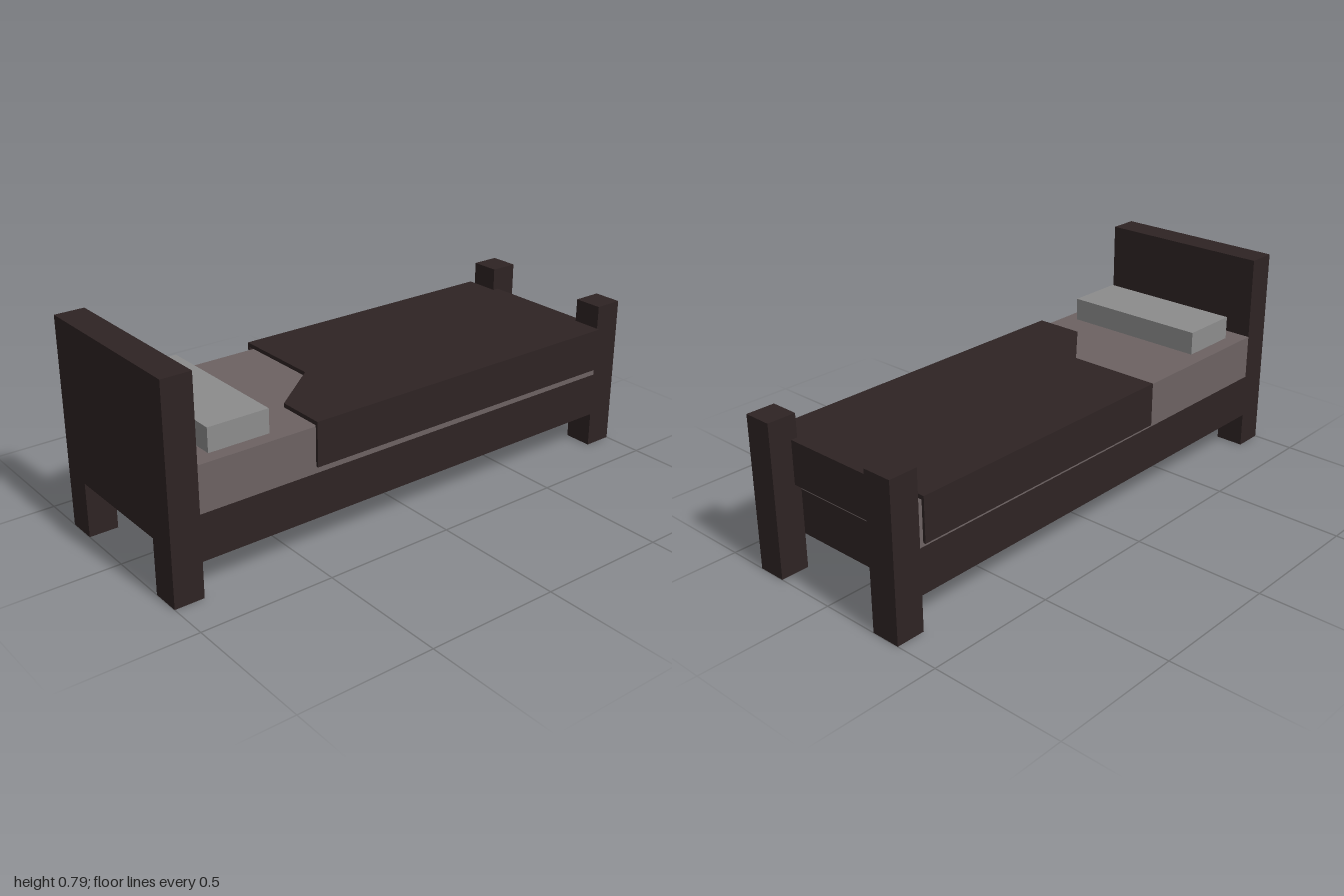
import * as THREE from 'three';

const material = (name, color) => {
  const m = new THREE.MeshStandardMaterial({ color });
  m.name = name;
  return m;
};

// Shape from a list of [x, y] corners
const outline = (points) => new THREE.Shape(points.map(([x, y]) => new THREE.Vector2(x, y)));

export function createModel() {
  const bed = new THREE.Group();
  bed.name = 'bed';
  const wood = material('darkWood', 0x2e2323);
  const sheet = material('sheet', 0x6c6262);
  const cushion = material('pillowGrey', 0x8c8c8c);

  const add = (name, geometry, mat, parent = bed) => {
    const mesh = new THREE.Mesh(geometry, mat);
    mesh.name = name;
    parent.add(mesh);
    return mesh;
  };
  // Box given by its low and high limits on each axis
  const box = (name, mat, [x0, x1], [y0, y1], [z0, z1], parent) => {
    const g = new THREE.BoxGeometry(x1 - x0, y1 - y0, z1 - z0);
    g.translate((x0 + x1) / 2, (y0 + y1) / 2, (z0 + z1) / 2);
    return add(name, g, mat, parent);
  };

  const L = -0.335, R = 0.346;          // outer sides of the frame
  const innerL = -0.223, innerR = 0.236; // inner sides of the legs
  const end = 0.89;                      // inner face of headboard and posts

  // Headboard with two legs in one piece
  const board = new THREE.ExtrudeGeometry(outline([
    [L, 0], [innerL, 0], [innerL, 0.208], [innerR, 0.208],
    [innerR, 0], [R, 0], [R, 0.785], [L, 0.785],
  ]), { depth: 1 - end, bevelEnabled: false });
  board.translate(0, 0, end);
  add('headboard', board, wood);

  // Foot posts
  box('footPostRight', wood, [L, innerL], [0, 0.58], [-1, -end]);
  box('footPostLeft', wood, [innerR, R], [0, 0.58], [-1, -end]);

  // Base, mattress and pillow
  box('bedBase', wood, [L, R], [0.133, 0.302], [-end, end]);
  box('mattress', sheet, [L, R], [0.302, 0.472], [-end, end]);
  box('pillow', cushion, [-0.275, 0.295], [0.472, 0.56], [0.59, 0.82]);

  // Blanket: folded-back top sheet with hanging sides and foot end
  const blanket = new THREE.Group();
  blanket.name = 'blanket';
  bed.add(blanket);
  const outL = -0.36, outR = 0.357, low = 0.328, top = 0.492, under = 0.477, foot = -0.915;
  const cover = new THREE.ExtrudeGeometry(outline([
    [outL, end], [innerL, end], [innerL, -foot], [innerR, -foot], [innerR, end], [outR, end],
    [outR, -0.445], [0.17, -0.445], [0, -0.235], [outL, -0.235],
  ]), { depth: top - under, bevelEnabled: false });
  cover.rotateX(-Math.PI / 2);
  cover.translate(0, under, 0);
  add('blanketTop', cover, wood, blanket);
  box('blanketRightSide', wood, [outL, outL + 0.01], [low, under], [-end, 0.235], blanket);
  box('blanketLeftSide', wood, [R + 0.001, outR], [low, under], [-end, 0.445], blanket);
  box('blanketFootEnd', wood, [innerL, innerR], [low, under], [foot, foot + 0.01], blanket);

  return bed;
}
